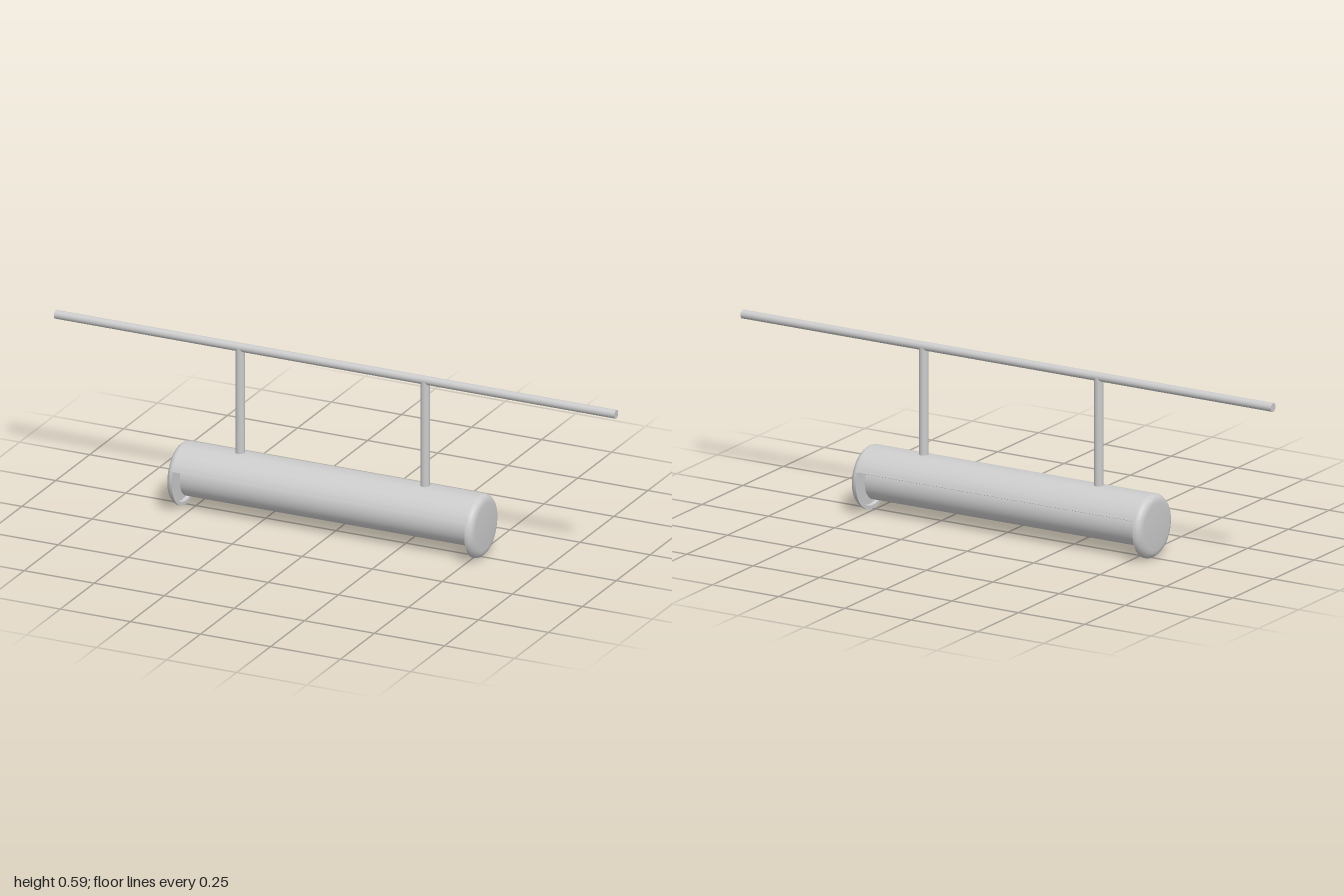
import * as THREE from 'three';
import { toCreasedNormals } from 'three/addons/utils/BufferGeometryUtils.js';

const material = new THREE.MeshStandardMaterial({ color: 0xcccccc, side: THREE.DoubleSide });
const AXIS_Y = 0.107, RADIUS = 0.106, MID_X = -0.013, HALF = 0.547;

function add(group, name, geometry, x, y) {
  const mesh = new THREE.Mesh(geometry, material);
  mesh.name = name;
  mesh.position.set(x, y, 0);
  group.add(mesh);
  return mesh;
}

// Round bar lying along x
function bar(radius, length, sides) {
  return new THREE.CylinderGeometry(radius, radius, length, sides).rotateZ(Math.PI / 2);
}

export function createModel() {
  const model = new THREE.Group();

  // Ceiling rail and its two hanging posts
  add(model, 'rail', bar(0.0145, 2, 24), 0, 0.576);
  for (const side of [-1, 1]) {
    const post = new THREE.CylinderGeometry(0.015, 0.015, 0.376, 24);
    add(model, side < 0 ? 'rightPost' : 'leftPost', post, -0.012 + side * 0.33, 0.388);
  }

  // Curved cover over the top of the lamp, open below
  const lip = Math.asin(0.039 / RADIUS);
  const arc = new THREE.Shape();
  arc.absarc(0, 0, RADIUS, lip, Math.PI - lip, false);
  arc.absarc(0, 0, RADIUS - 0.012, Math.PI - lip, lip, true);
  arc.closePath();
  const coverLength = 2 * (HALF - 0.022);
  const cover = new THREE.ExtrudeGeometry(arc, { depth: coverLength, bevelEnabled: false, curveSegments: 32 });
  cover.translate(0, 0, -coverLength / 2).rotateY(Math.PI / 2);
  add(model, 'cover', toCreasedNormals(cover, 0.6), MID_X, AXIS_Y);

  // Round end caps with softened rims and a shallow recess inside
  const profile = [
    [0, 0.012], [0.092, 0.012], [0.094, 0], [RADIUS, 0], [RADIUS, 0.006],
    [0.103, 0.013], [0.097, 0.02], [0.088, 0.024], [0.078, 0.025], [0, 0.025],
  ].map(([r, h]) => new THREE.Vector2(r, h));
  for (const side of [-1, 1]) {
    const cap = toCreasedNormals(new THREE.LatheGeometry(profile, 48), 0.7);
    cap.rotateZ(-side * Math.PI / 2);
    add(model, side < 0 ? 'rightCap' : 'leftCap', cap, MID_X + side * (HALF - 0.025), AXIS_Y);
  }

  // Light tube between the caps
  add(model, 'lightTube', bar(0.071, 1.02, 48), MID_X, AXIS_Y);

  return model;
}
